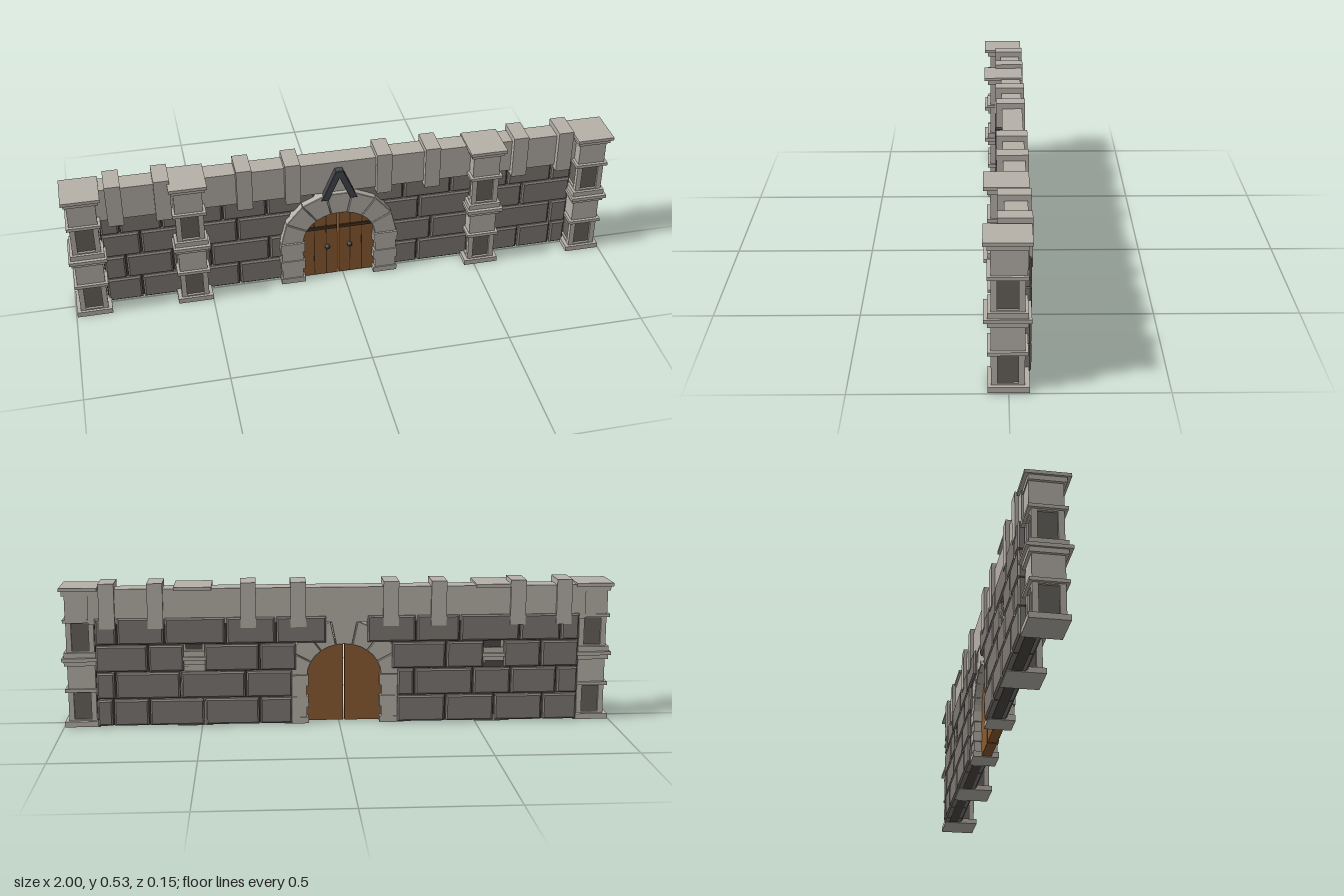
import * as THREE from 'three';

const mat = (color) => new THREE.MeshStandardMaterial({ color, flatShading: true, side: THREE.DoubleSide });
const M = {
  trim: mat(0xb5b0a8), block: mat(0x7d7772), dark: mat(0x66625c),
  mortar: mat(0x4c4945), wood: mat(0x8a5a30), iron: mat(0x45474c), strap: mat(0x46301c),
};
const DOOR_X = -0.018;

function add(parent, name, geometry, material) {
  const mesh = new THREE.Mesh(geometry, material);
  mesh.name = name;
  parent.add(mesh);
  return mesh;
}

// Box given by its limits on each axis
function box(parent, name, material, x0, x1, y0, y1, z0, z1) {
  const mesh = add(parent, name, new THREE.BoxGeometry(x1 - x0, y1 - y0, z1 - z0), material);
  mesh.position.set((x0 + x1) / 2, (y0 + y1) / 2, (z0 + z1) / 2);
  return mesh;
}

// Outline extruded from z0 to z1, with an optional chamfer
function slab(parent, name, material, points, z0, z1, bevel = 0) {
  const shape = new THREE.Shape(points.map(([x, y]) => new THREE.Vector2(x, y)));
  const geometry = new THREE.ExtrudeGeometry(shape, {
    depth: z1 - z0 - 2 * bevel, bevelEnabled: bevel > 0, bevelSize: bevel,
    bevelThickness: bevel, bevelOffset: -bevel, bevelSegments: 1,
  });
  geometry.translate(0, 0, z0 + bevel);
  return add(parent, name, geometry, material);
}

function pillar(x) {
  const g = new THREE.Group();
  g.name = 'pillar';
  g.position.x = x;
  const ring = (name, halfX, y0, y1, z0, z1) => box(g, name, M.trim, -halfX, halfX, y0, y1, z0, z1);
  ring('pillarBase', 0.064, 0, 0.02, -0.065, 0.065);
  ring('pillarCollar', 0.06, 0.128, 0.14, -0.06, 0.066);
  ring('pillarShaft', 0.05, 0.14, 0.228, -0.05, 0.055);
  ring('pillarMoulding', 0.06, 0.226, 0.243, -0.06, 0.065);
  ring('pillarMiddleCollar', 0.067, 0.243, 0.256, -0.07, 0.078);
  ring('pillarMoulding', 0.06, 0.256, 0.275, -0.06, 0.065);
  ring('pillarCollar', 0.06, 0.384, 0.396, -0.06, 0.066);
  ring('pillarShaft', 0.05, 0.396, 0.482, -0.057, 0.055);
  ring('pillarMoulding', 0.06, 0.482, 0.5, -0.06, 0.065);
  ring('pillarCap', 0.0675, 0.5, 0.512, -0.072, 0.078);
  // Two recessed panel stages framed by corner posts
  for (const y of [0.02, 0.275]) {
    box(g, 'recessedPanel', M.dark, -0.042, 0.042, y, y + 0.11, -0.042, 0.046);
    for (const side of [-1, 1]) {
      const a = side < 0 ? -0.05 : 0.031;
      box(g, 'cornerPost', M.trim, a, a + 0.019, y, y + 0.11, 0.035, 0.055);
      box(g, 'cornerPost', M.trim, a, a + 0.019, y, y + 0.11, -0.05, -0.03);
    }
    ring('panelRail', 0.05, y, y + 0.005, -0.05, 0.055);
    ring('panelRail', 0.05, y + 0.104, y + 0.11, -0.05, 0.055);
  }
  return g;
}

function stoneBlocks() {
  const g = new THREE.Group();
  g.name = 'stoneBlocks';
  // Joint positions of each course, from the bottom, on both sides of the door
  const courses = [
    [[-0.88, -0.75, -0.57, -0.39, -0.21], [0.17, 0.29, 0.49, 0.69, 0.82, 0.88]],
    [[-0.88, -0.80, -0.63, -0.49, -0.275, -0.21], [0.17, 0.34, 0.575, 0.81, 0.88]],
    [[-0.88, -0.74, -0.60], [-0.53, -0.39, -0.19], [0.155, 0.29, 0.49], [0.56, 0.69, 0.88]],
    [[-0.88, -0.81, -0.66, -0.44, -0.28, -0.10], [0.045, 0.23, 0.41, 0.63, 0.80, 0.88]],
  ];
  courses.forEach((runs, row) => {
    const y0 = 0.004 + row * 0.1, y1 = y0 + 0.096;
    for (const xs of runs) {
      for (let i = 0; i + 1 < xs.length; i++) {
        const a = xs[i] + 0.003, b = xs[i + 1] - 0.003;
        slab(g, 'stoneBlock', M.block, [[a, y0], [b, y0], [b, y1], [a, y1]], -0.072, 0.003, 0.006);
      }
    }
  });
  box(g, 'mortarCore', M.mortar, -0.88, -0.2, 0.002, 0.4, -0.05, -0.015);
  box(g, 'mortarCore', M.mortar, 0.165, 0.88, 0.002, 0.4, -0.05, -0.015);
  return g;
}

function archway() {
  const g = new THREE.Group();
  g.name = 'archway';
  g.position.x = DOOR_X;
  const springY = 0.18;
  // Jamb stones, alternately wide and narrow
  for (const side of [-1, 1]) {
    for (let i = 0; i < 5; i++) {
      const wide = i % 2 === 0;
      const inner = side * (wide ? 0.13 : 0.137), outer = side * (wide ? 0.22 : 0.215);
      const y0 = i === 0 ? 0 : 0.022 + (i - 1) * 0.0395, y1 = 0.022 + i * 0.0395;
      box(g, 'jambStone', M.trim, Math.min(inner, outer), Math.max(inner, outer), y0, y1,
        wide ? -0.062 : -0.058, wide ? 0.034 : 0.03);
    }
  }
  // Wedge stones of the arch
  const count = 7;
  const at = (rx, ry, t) => [rx * Math.cos(t), springY + ry * Math.sin(t)];
  for (let i = 0; i < count; i++) {
    const a = (Math.PI * i) / count + 0.006, b = (Math.PI * (i + 1)) / count - 0.006, m = (a + b) / 2;
    slab(g, 'archStone', M.trim, [
      at(0.218, 0.205, a), at(0.218, 0.205, b),
      at(0.134, 0.115, b), at(0.134, 0.115, m), at(0.134, 0.115, a),
    ], -0.06, 0.03, 0.002);
  }
  return g;
}

function doors() {
  const g = new THREE.Group();
  g.name = 'doubleDoor';
  g.position.x = DOOR_X;
  const topAt = (x) => 0.18 + 0.122 * Math.sqrt(Math.max(0, 1 - (x / 0.142) ** 2));
  for (const side of [-1, 1]) {
    const leaf = new THREE.Group();
    leaf.name = side < 0 ? 'rightDoorLeaf' : 'leftDoorLeaf';
    const points = [[side * 0.003, 0.003]];
    for (let i = 0; i <= 10; i++) {
      const x = 0.003 + 0.137 * (i / 10);
      points.push([side * x, topAt(x)]);
    }
    points.push([side * 0.14, 0.003]);
    slab(leaf, 'doorPanel', M.wood, points, -0.03, 0.006);
    // Plank joints, iron band and knob
    for (const x of [0.045, 0.09]) {
      box(leaf, 'plankJoint', M.strap, side * x - 0.0015, side * x + 0.0015, 0.005, topAt(x) - 0.008, 0, 0.0075);
    }
    box(leaf, 'doorBand', M.strap, Math.min(side * 0.005, side * 0.13), Math.max(side * 0.005, side * 0.13),
      0.214, 0.226, 0, 0.012);
    const knob = add(leaf, 'doorKnob', new THREE.SphereGeometry(0.01, 10, 8), M.iron);
    knob.position.set(side * 0.042, 0.134, 0.014);
    g.add(leaf);
  }
  return g;
}

export function createModel() {
  const model = new THREE.Group();
  model.name = 'gatehouseWall';
  for (const x of [-0.9325, -0.564, 0.526, 0.9325]) model.add(pillar(x));
  model.add(stoneBlocks(), archway(), doors());

  // Coping beam along the top with straps over it
  box(model, 'copingBeam', M.trim, -0.9, 0.9, 0.378, 0.506, -0.063, 0.012);
  for (const x of [-0.819, -0.65, -0.361, -0.187, 0.148, 0.328, 0.66, 0.832]) {
    box(model, 'copingStrap', M.trim, x - 0.028, x + 0.028, 0.363, 0.527, -0.075, 0.034);
  }

  // Chevron ornament above the arch
  const c = DOOR_X;
  slab(model, 'chevronOrnament', M.iron, [
    [c - 0.066, 0.36], [c - 0.014, 0.482], [c + 0.014, 0.482], [c + 0.066, 0.36],
    [c + 0.04, 0.36], [c, 0.452], [c - 0.04, 0.36],
  ], 0.005, 0.037, 0.002);
  return model;
}
